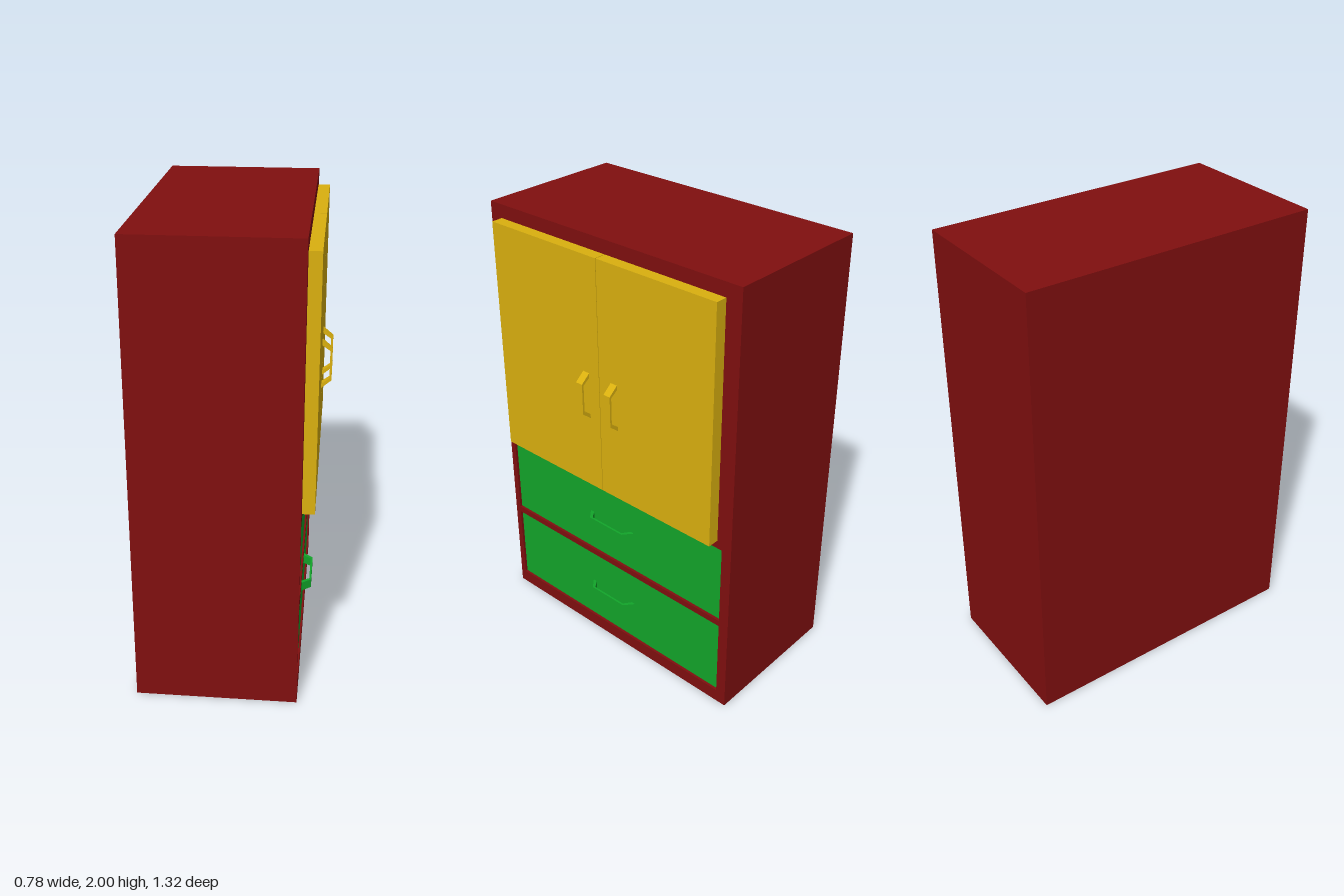
import * as THREE from 'three';

const red = new THREE.MeshStandardMaterial({ color: 0x800f0f });
const yellow = new THREE.MeshStandardMaterial({ color: 0xdab00f });
const green = new THREE.MeshStandardMaterial({ color: 0x12a52a });

const FRONT = 0.295, BACK = -0.39, HALF = 0.66, PANEL = 0.03;

function add(parent, name, geometry, material) {
  const mesh = new THREE.Mesh(geometry, material);
  mesh.name = name;
  parent.add(mesh);
  return mesh;
}

// Box given by its limits on each axis
function block(parent, name, [x0, x1], [y0, y1], [z0, z1], material) {
  const mesh = add(parent, name, new THREE.BoxGeometry(x1 - x0, y1 - y0, z1 - z0), material);
  mesh.position.set((x0 + x1) / 2, (y0 + y1) / 2, (z0 + z1) / 2);
  return mesh;
}

// Rectangle drawn in the plane of the cabinet's face (u = -z)
function rect(Type, [y0, y1], [z0, z1]) {
  return new Type([[-z1, y0], [-z0, y0], [-z0, y1], [-z1, y1]].map(p => new THREE.Vector2(...p)));
}

// Bent strap handle: stands out along +x, runs along y, width along z
function handle(parent, name, length, width, depth, material) {
  const h = length / 2, t = 0.009, s = 0.036;
  const points = [
    [0, h], [depth, h - s], [depth, s - h], [0, -h],
    [0, 0.02 - h], [depth - t, s + 0.008 - h], [depth - t, h - s - 0.008], [0, h - 0.02],
  ].map(p => new THREE.Vector2(...p));
  const geometry = new THREE.ExtrudeGeometry(new THREE.Shape(points), { depth: width, bevelEnabled: false });
  geometry.translate(0, 0, -width / 2);
  return add(parent, name, geometry, material);
}

export function createModel() {
  const group = new THREE.Group();
  group.name = 'cabinet';

  const drawerRows = [[0.065, 0.43], [0.467, 0.833]];
  const drawerZ = [-0.608, 0.628];

  // Carcass with openings for the drawers and the cupboard
  const face = rect(THREE.Shape, [0, 2], [-HALF, HALF]);
  const gap = 0.004;
  for (const [y0, y1] of drawerRows) {
    face.holes.push(rect(THREE.Path, [y0 - gap, y1 + gap], [drawerZ[0] - gap, drawerZ[1] + gap]));
  }
  face.holes.push(rect(THREE.Path, [0.91, 1.9], [-0.55, 0.56]));
  const carcass = new THREE.ExtrudeGeometry(face, { depth: FRONT - BACK - PANEL, bevelEnabled: false });
  carcass.rotateY(Math.PI / 2).translate(BACK + PANEL, 0, 0);
  add(group, 'carcass', carcass, red);
  block(group, 'backPanel', [BACK, BACK + PANEL], [0, 2], [-HALF, HALF], red);

  // Drawers, set slightly back, with horizontal handles
  drawerRows.forEach(([y0, y1], i) => {
    const drawer = new THREE.Group();
    drawer.name = i ? 'upperDrawer' : 'lowerDrawer';
    group.add(drawer);
    block(drawer, 'drawerFront', [-0.3, FRONT - 0.008], [y0, y1], drawerZ, green);
    const pull = handle(drawer, 'drawerHandle', 0.265, 0.042, 0.043, green);
    pull.rotation.x = Math.PI / 2;
    pull.position.set(FRONT - 0.008, (y0 + y1) / 2 - 0.001, 0.013);
  });

  // Pair of doors with vertical handles beside the seam
  const doors = [['rightDoor', [-0.588, 0.004], -0.077], ['leftDoor', [0.007, 0.598], 0.079]];
  for (const [name, z, handleZ] of doors) {
    const door = new THREE.Group();
    door.name = name;
    group.add(door);
    block(door, 'doorPanel', [FRONT, 0.347], [0.875, 1.94], z, yellow);
    handle(door, 'doorHandle', 0.212, 0.034, 0.043, yellow).position.set(0.347, 1.32, handleZ);
  }

  return group;
}
